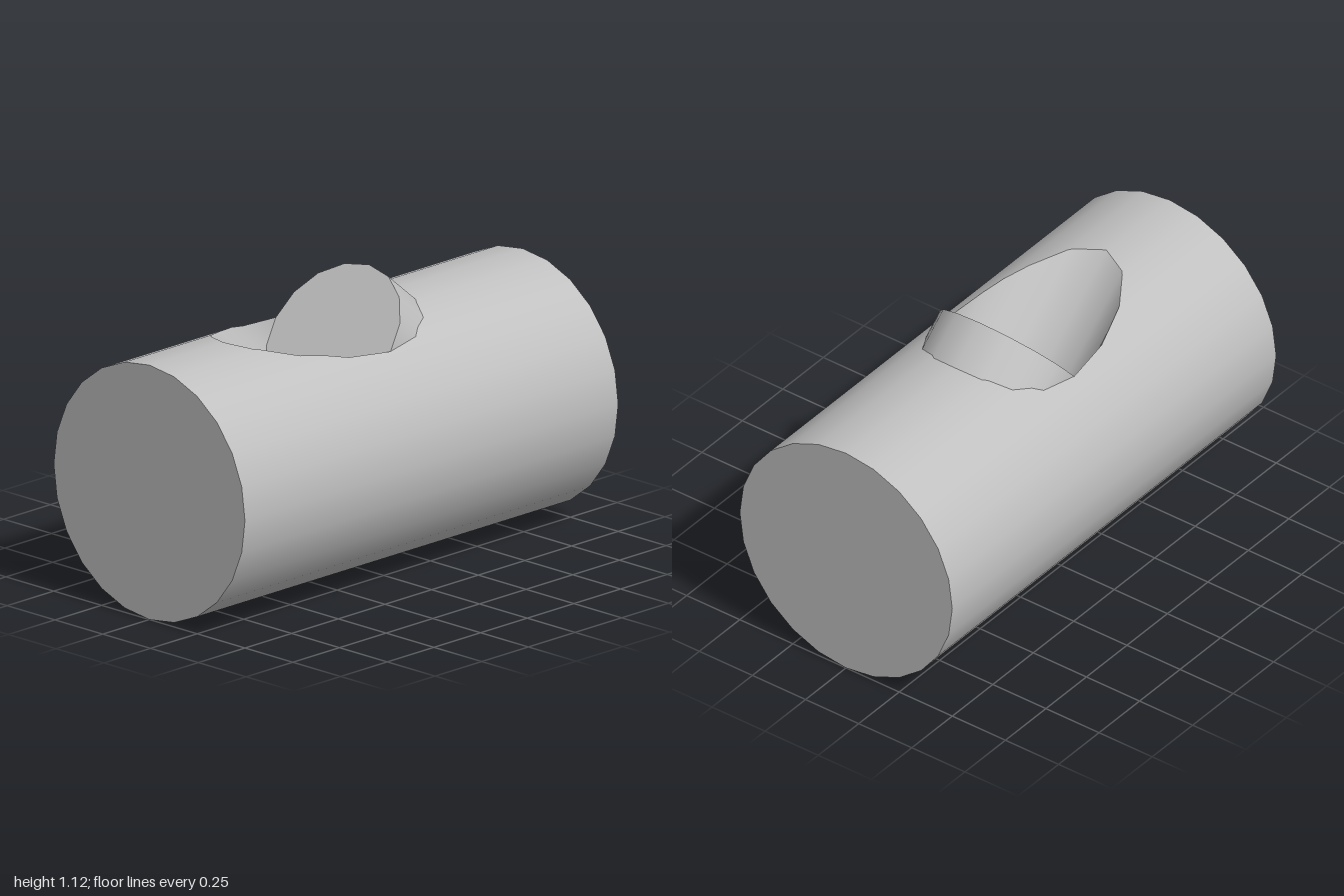
import * as THREE from 'three';

const R = 0.5, SIDES = 24;            // main log
const r = 0.3, PLUG_SIDES = 16;       // slanted bore and plug
const TILT = THREE.MathUtils.degToRad(50);
const C = new THREE.Vector3(-0.015, 0.895, 0);                       // centre of the slanted disc
const D = new THREE.Vector3(Math.cos(TILT), Math.sin(TILT), 0);      // steepest direction in the disc
const DISC_NORMAL = new THREE.Vector3(-Math.sin(TILT), Math.cos(TILT), 0);

// Height at z of the upper half of a regular polygon with a corner on top
function polygonHeight(z, radius, sides) {
  const step = (2 * Math.PI) / sides;
  const a = Math.asin(Math.min(1, Math.abs(z) / radius));
  const k = Math.min(Math.floor(a / step + 1e-6), sides / 4 - 1);
  const z0 = radius * Math.sin(k * step), z1 = radius * Math.sin((k + 1) * step);
  const y0 = radius * Math.cos(k * step), y1 = radius * Math.cos((k + 1) * step);
  return y0 + ((Math.abs(z) - z0) / (z1 - z0)) * (y1 - y0);
}
const logTop = (z) => R + polygonHeight(z, R, SIDES);
const boreHalf = (z) => (Math.abs(z) >= r - 1e-6 ? 0 : polygonHeight(z, r, PLUG_SIDES));

// Ruled surface between two rails; corners are ordered to agree with the normals
function ruled(strips) {
  const pos = [], nor = [];
  const ab = new THREE.Vector3(), ac = new THREE.Vector3();
  const tri = (p, n) => {
    ab.subVectors(p[1], p[0]);
    ac.subVectors(p[2], p[0]);
    const facing = ab.cross(ac);
    if (facing.length() < 1e-9) return;
    const sum = n[0].clone().add(n[1]).add(n[2]);
    const order = facing.dot(sum) < 0 ? [0, 2, 1] : [0, 1, 2];
    for (const i of order) {
      pos.push(...p[i].toArray());
      nor.push(...n[i].toArray());
    }
  };
  for (const { a, b, normals } of strips) {
    for (let i = 0; i < a.length - 1; i++) {
      tri([a[i], b[i], b[i + 1]], [normals[i], normals[i], normals[i + 1]]);
      tri([a[i], b[i + 1], a[i + 1]], [normals[i], normals[i + 1], normals[i + 1]]);
    }
  }
  const g = new THREE.BufferGeometry();
  g.setAttribute('position', new THREE.Float32BufferAttribute(pos, 3));
  g.setAttribute('normal', new THREE.Float32BufferAttribute(nor, 3));
  return g;
}

export function createModel() {
  const group = new THREE.Group();
  const grey = new THREE.MeshStandardMaterial({ color: 0xc0c0c0 });
  grey.name = 'plain grey';
  const add = (name, geometry) => {
    const mesh = new THREE.Mesh(geometry, grey);
    mesh.name = name;
    group.add(mesh);
    return mesh;
  };

  // Stations across the bore: every corner of either polygon
  const zs = [];
  for (let k = -3; k <= 3; k++) zs.push(R * Math.sin((k * 2 * Math.PI) / SIDES));
  for (let k = -4; k <= 4; k++) zs.push(r * Math.sin((k * 2 * Math.PI) / PLUG_SIDES));
  zs.sort((p, q) => p - q);
  const stations = zs.filter((z, i) => i === 0 || z - zs[i - 1] > 1e-5);
  const inside = stations.filter((z) => Math.abs(z) < r + 1e-5);

  // Where the bore meets the log (side -1 is the open cut, +1 the plug)
  const outline = (z, side) => {
    const y = logTop(z);
    const x = C.x + (Math.abs(z) >= r - 1e-6 ? 0 : (side * boreHalf(z) - (y - C.y) * D.y) / D.x);
    return new THREE.Vector3(x, y, z);
  };
  const rim = (z, side) => C.clone().addScaledVector(D, side * boreHalf(z)).setZ(z);
  const radial = (p) => new THREE.Vector3(0, p.y - R, p.z).normalize();

  // Log skin: closed underside plus the two upper parts around the bore
  const low = [];
  for (let k = 3; k <= SIDES - 3; k++) {
    const a = (k * 2 * Math.PI) / SIDES;
    low.push(new THREE.Vector3(0, R + R * Math.cos(a), R * Math.sin(a)));
  }
  const strips = [{
    a: low.map((p) => p.clone().setX(-1)),
    b: low.map((p) => p.clone().setX(1)),
    normals: low.map(radial),
  }];
  for (const side of [-1, 1]) {
    const edge = stations.map((z) => outline(z, side));
    strips.push({ a: edge, b: edge.map((p) => p.clone().setX(side)), normals: edge.map(radial) });
  }
  add('logSkin', ruled(strips));

  // Flat ends of the log
  for (const side of [-1, 1]) {
    const end = add(side > 0 ? 'leftEnd' : 'rightEnd', new THREE.CircleGeometry(R, SIDES));
    end.rotation.y = (side * Math.PI) / 2;
    end.position.set(side, R, 0);
  }

  // Wall of the slanted cut, and the side of the raised plug
  for (const side of [-1, 1]) {
    add(side < 0 ? 'cutWall' : 'plugSide', ruled([{
      a: inside.map((z) => rim(z, side)),
      b: inside.map((z) => outline(z, side)),
      normals: inside.map((z) => D.clone().multiplyScalar(boreHalf(z)).setZ(side * z).normalize()),
    }]));
  }

  // Slanted disc that closes the cut and faces the plug
  add('plugFace', ruled([{
    a: inside.map((z) => rim(z, -1)),
    b: inside.map((z) => rim(z, 1)),
    normals: inside.map(() => DISC_NORMAL),
  }]));

  return group;
}
